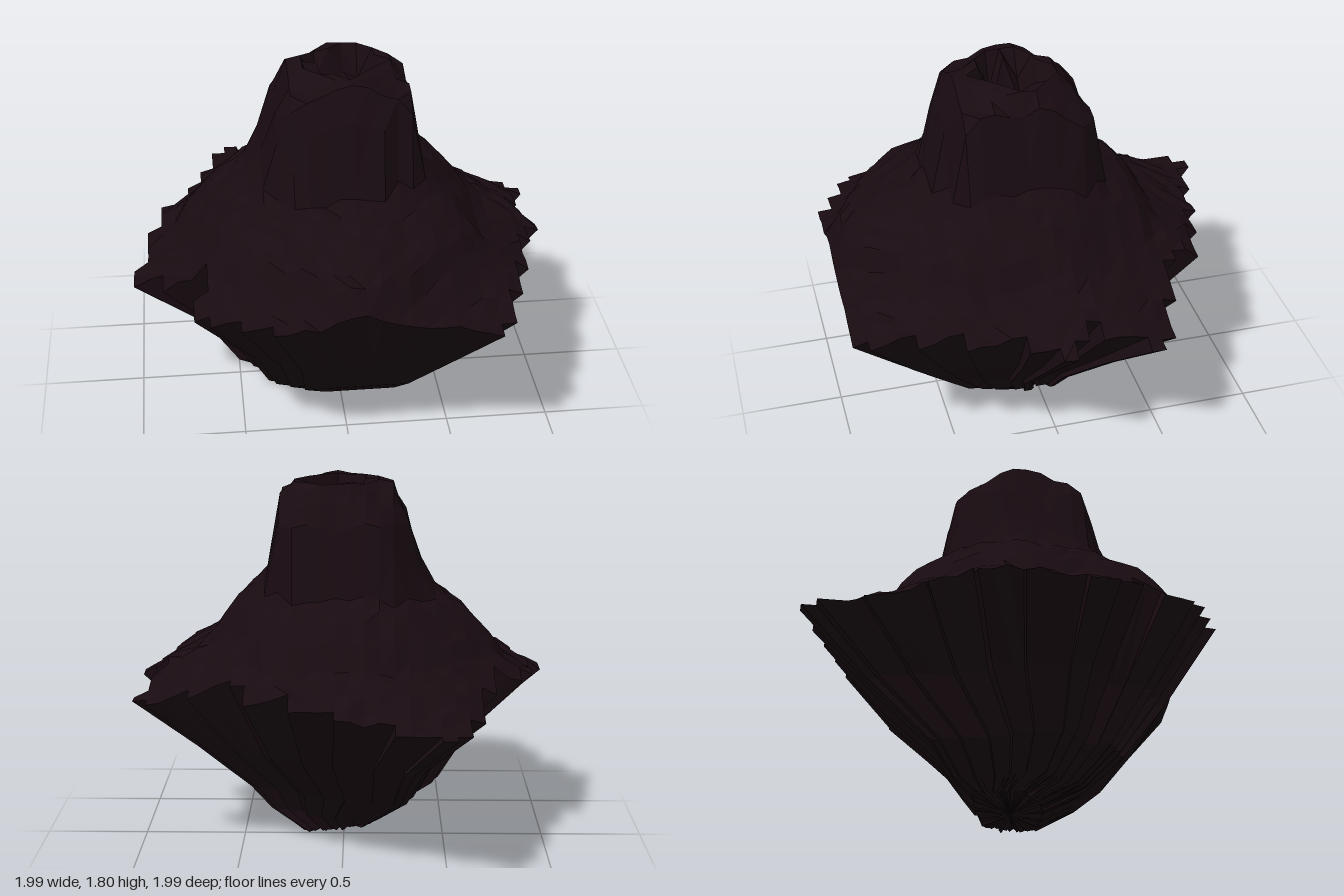
import * as THREE from 'three';

const N = 29, CELL = 1.992 / N;
const CX = 0.03, CZ = 0.1; // crater axis

// first and last grid line of the island in every row, from back to front
const ROWS = [
  [7, 8], [6, 11], [6, 15], [6, 18], [5, 21], [5, 21], [5, 22], [5, 25], [4, 28], [4, 29],
  [4, 28], [2, 28], [2, 28], [2, 27], [1, 28], [1, 29], [1, 28], [1, 28], [0, 27], [0, 27],
  [2, 27], [2, 27], [5, 26], [5, 26], [4, 26], [4, 25], [5, 25], [7, 25], [9, 24],
];

// slope distances from the axis at each height, per direction
const HEIGHTS = [1.8, 1.6, 1.35, 1.27, 1.2, 1.1, 1.0, 0.93, 0.86, 0.81];
const SLOPES = {
  left: [0.25, 0.31, 0.34, 0.45, 0.5, 0.58, 0.65, 0.8, 0.92, 1.02],
  right: [0.27, 0.33, 0.43, 0.49, 0.59, 0.69, 0.77, 0.82, 0.95, 1.05],
  front: [0.29, 0.35, 0.39, 0.42, 0.6, 0.8, 0.85, 0.9, 1.12, 1.25],
  back: [0.22, 0.345, 0.395, 0.42, 0.56, 0.64, 0.7, 0.84, 0.94, 1.06],
};
// how far the neck bulges at its corners, from the lip downwards
const SQUARE = [0.3, 0.24, 0.1, 0.05];

// underside levels below the rim: y, x range, z range
const LEVELS = [
  [0.54, -0.67, 0.71, -0.67, 0.76],
  [0.28, -0.51, 0.46, -0.36, 0.56],
  [0.15, -0.3, 0.36, -0.23, 0.41],
  [0.06, -0.2, 0.2, -0.15, 0.2],
];
const LAST = LEVELS.length - 1;

const coord = (i) => -0.996 + i * CELL;
const lerp = THREE.MathUtils.lerp;
const inside = (i, j) => j >= 0 && j < N && i >= ROWS[j][0] && i < ROWS[j][1];

function noise(i, j) {
  const s = Math.sin(i * 127.1 + j * 311.7) * 43758.5453;
  return (s - Math.floor(s)) * 2 - 1;
}

function terrainHeight(i, j) {
  const dx = coord(i) - CX, dz = coord(j) - CZ;
  const a = Math.atan2(dz, dx);
  const r = Math.hypot(dx, dz) * (1 + 0.025 * Math.sin(a * 7) + 0.01 * noise(i, j));
  const sx = dx > 0 ? SLOPES.left : SLOPES.right;
  const sz = dz > 0 ? SLOPES.front : SLOPES.back;
  const w = Math.cos(a) ** 2, corner = Math.sin(2 * a) ** 2;
  const radius = (k) => lerp(sz[k], sx[k], w) * (1 + (SQUARE[k] ?? 0) * corner);
  // crater bowl inside a lip that sags at the corners
  if (r < radius(0)) {
    const bowl = 0.15 + 0.03 * Math.sin(a * 5 + 1);
    if (r < bowl) return lerp(1.45, 1.68, r / bowl);
    return 1.8 - 0.08 * corner * THREE.MathUtils.smoothstep(r, 0.18, 0.3) + 0.01 * noise(i, j);
  }
  for (let k = 1; k < HEIGHTS.length; k++) {
    if (r < radius(k)) {
      const t = (r - radius(k - 1)) / (radius(k) - radius(k - 1));
      const upper = k === 1 ? 1.8 - 0.08 * corner : HEIGHTS[k - 1];
      const rough = k > 2 ? 0.014 * noise(j, i) : 0;
      return Math.max(0.8, lerp(upper, HEIGHTS[k], t) + rough);
    }
  }
  return 0.805;
}

function undersidePoint(i, j, k) {
  const [y, x0, x1, z0, z1] = LEVELS[k];
  const x = lerp(x0, x1, i / N), z = lerp(z0, z1, j / N);
  if (k < LAST) return [x, y, z];
  return [x, Math.max(0, y - 0.17 * x - 0.14 * z + 0.01 * noise(i, j)), z];
}

function makeMesh(name, triangles, material) {
  const geometry = new THREE.BufferGeometry();
  geometry.setAttribute('position', new THREE.Float32BufferAttribute(triangles.flat(), 3));
  geometry.computeVertexNormals();
  const mesh = new THREE.Mesh(geometry, material);
  mesh.name = name;
  return mesh;
}

export function createModel() {
  const group = new THREE.Group();
  group.name = 'floatingVolcanoIsland';
  const rock = new THREE.MeshStandardMaterial({ color: 0x180b11, flatShading: true });

  const top = [], under = [];
  const quad = (list, a, b, c, d) => list.push(a, b, c, a, c, d);
  const ground = (i, j) => [coord(i), terrainHeight(i, j), coord(j)];

  // tapering underside below one edge of the outline
  function dropEdge(p, q) {
    let a = ground(...p), b = ground(...q);
    for (let k = 0; k <= LAST; k++) {
      const c = undersidePoint(...p, k), d = undersidePoint(...q, k);
      quad(under, a, c, d, b);
      [a, b] = [c, d];
    }
    under.push(a, [0.04, 0.05, 0.06], b);
  }

  for (let j = 0; j < N; j++) {
    for (let i = ROWS[j][0]; i < ROWS[j][1]; i++) {
      const a = [i, j], b = [i + 1, j], c = [i + 1, j + 1], d = [i, j + 1];
      // split each cell along the fall line's cross direction
      if ((coord(i) - CX) * (coord(j) - CZ) > 0) quad(top, ground(...d), ground(...c), ground(...b), ground(...a));
      else quad(top, ground(...a), ground(...d), ground(...c), ground(...b));
      if (!inside(i - 1, j)) dropEdge(a, d);
      if (!inside(i, j + 1)) dropEdge(d, c);
      if (!inside(i + 1, j)) dropEdge(c, b);
      if (!inside(i, j - 1)) dropEdge(b, a);
    }
  }

  group.add(makeMesh('volcanoSlopes', top, rock));
  group.add(makeMesh('rockUnderside', under, rock));
  return group;
}
